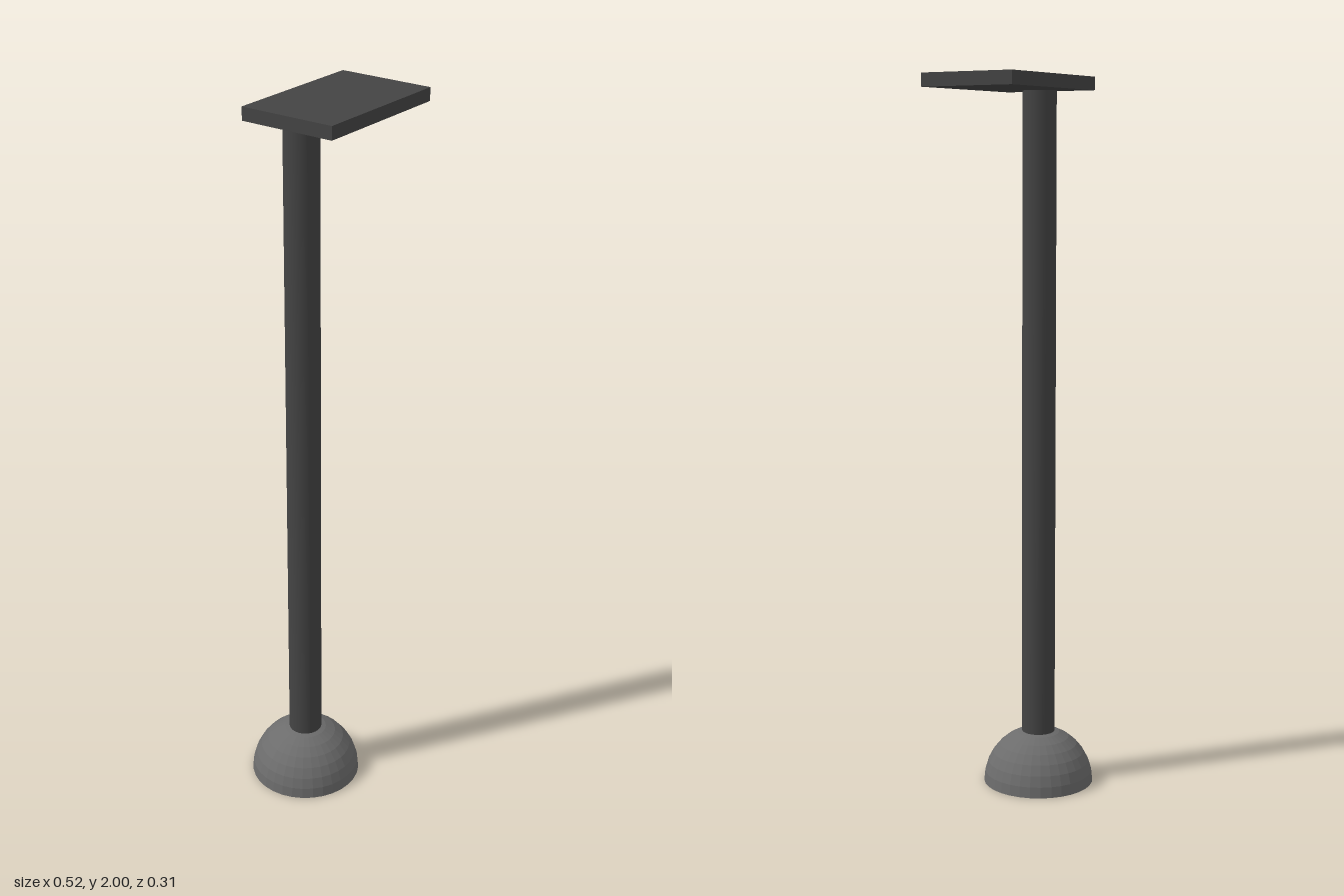
import * as THREE from 'three';

export function createModel() {
  const model = new THREE.Group();
  const poleX = -0.103;

  const add = (name, geometry, material, x, y) => {
    const mesh = new THREE.Mesh(geometry, material);
    mesh.name = name;
    mesh.position.set(x, y, 0);
    model.add(mesh);
  };

  const dark = new THREE.MeshStandardMaterial({ color: 0x444444 });
  const shell = new THREE.MeshStandardMaterial({
    color: 0x6c6c6c, flatShading: true, side: THREE.DoubleSide,
  });

  // Hollow half-sphere foot, open underneath
  add('domeBase', new THREE.SphereGeometry(0.157, 32, 8, 0, Math.PI * 2, 0, Math.PI / 2), shell, poleX, 0);

  // Upright pole, its lower end reaching inside the dome
  const bottom = 0.085, top = 1.97;
  add('pole', new THREE.CylinderGeometry(0.047, 0.047, top - bottom, 32), dark, poleX, (top + bottom) / 2);

  // Flat plate carried off-centre on the pole
  add('topPlate', new THREE.BoxGeometry(0.424, 0.036, 0.277), dark, 0.048, 1.982);

  return model;
}
